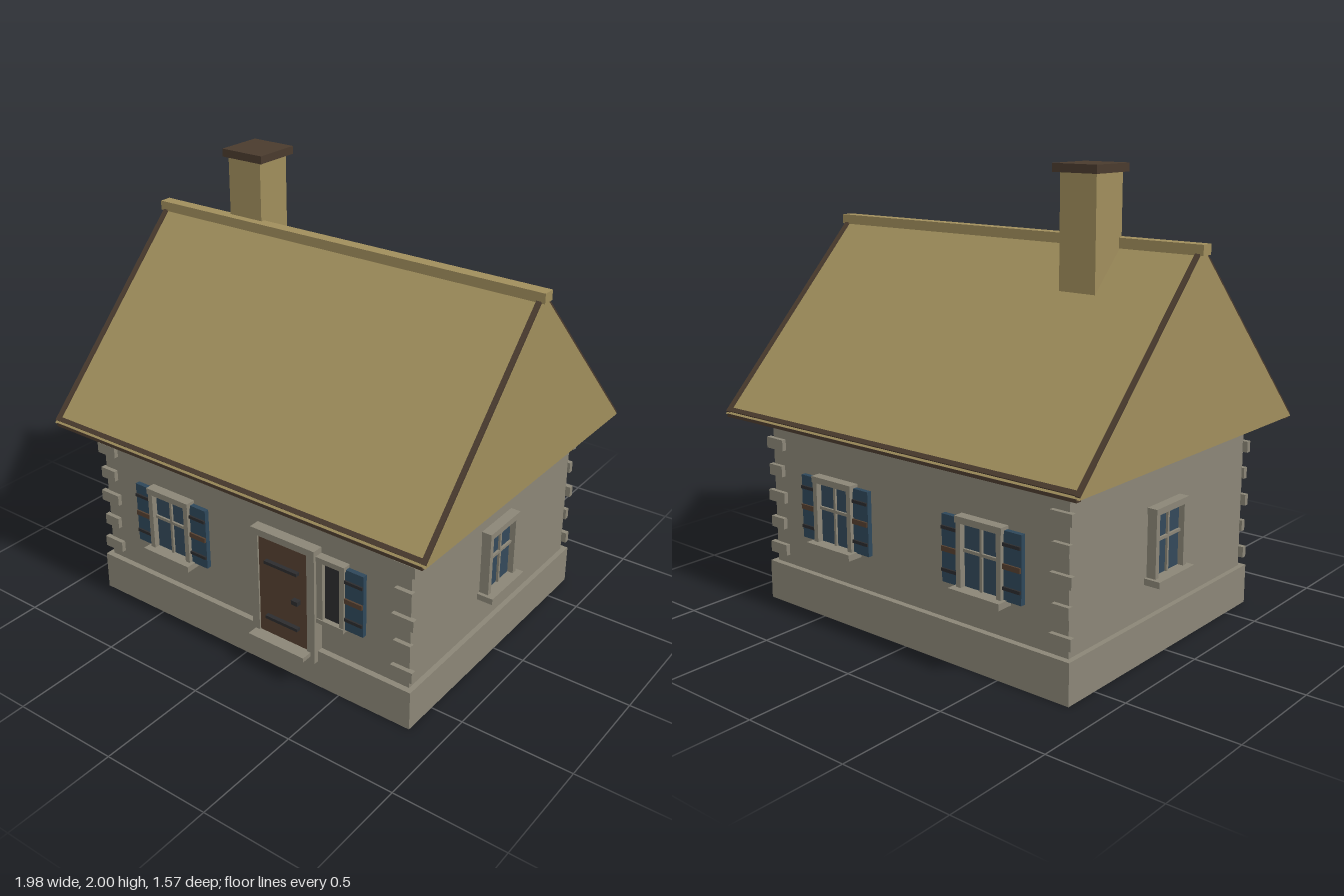
import * as THREE from 'three';

const mat = (name, color) => {
  const m = new THREE.MeshStandardMaterial({ color });
  m.name = name;
  return m;
};

export function createModel() {
  const stone = mat('stone', 0x8b8677);
  const thatch = mat('thatch', 0xa08e5c);
  const timber = mat('dark timber', 0x4a3b2e);
  const wood = mat('door wood', 0x554030);
  const blue = mat('shutter blue', 0x2e475a);
  const glass = mat('window glass', 0x33495a);
  const iron = mat('iron', 0x2c2c2e);
  const house = new THREE.Group();
  house.name = 'cottage';

  // Box given by its limits on each axis
  const box = (parent, name, material, x0, x1, y0, y1, z0, z1) => {
    const m = new THREE.Mesh(new THREE.BoxGeometry(x1 - x0, y1 - y0, z1 - z0), material);
    m.position.set((x0 + x1) / 2, (y0 + y1) / 2, (z0 + z1) / 2);
    m.name = name;
    parent.add(m);
    return m;
  };

  // Walls on a slightly wider plinth
  box(house, 'plinth', stone, -0.853, 0.853, 0, 0.18, -0.667, 0.667);
  box(house, 'walls', stone, -0.83, 0.83, 0.18, 0.878, -0.64, 0.64);

  // Alternating corner stones on the front and back
  for (const sx of [-1, 1]) for (const sz of [-1, 1]) {
    for (let i = 0; i < 5; i++) {
      const half = i % 2 ? 0.041 : 0.052;
      const y = 0.247 + i * 0.123;
      const z = sz * 0.648;
      box(house, 'cornerStone', stone, sx * 0.802 - half, sx * 0.802 + half,
        y - 0.025, y + 0.025, z - 0.012, z + 0.012);
    }
  }

  // Solid gabled roof
  const W = 0.785, EAVE = 0.875, APEX = 1.685;
  const gable = new THREE.Shape([
    new THREE.Vector2(-W, EAVE), new THREE.Vector2(W, EAVE), new THREE.Vector2(0, APEX),
  ]);
  const roofGeo = new THREE.ExtrudeGeometry(gable, { depth: 1.956, bevelEnabled: false });
  roofGeo.translate(0, 0, -0.978).rotateY(Math.PI / 2);
  const roof = new THREE.Mesh(roofGeo, thatch);
  roof.name = 'roof';
  house.add(roof);
  box(house, 'ridgeCap', thatch, -0.992, 0.992, 1.662, 1.705, -0.028, 0.028);

  // Dark trim along the gable edges and eaves
  const slope = Math.atan2(APEX - EAVE, W), run = Math.hypot(W, APEX - EAVE);
  for (const s of [-1, 1]) {
    const trim = new THREE.Group();
    trim.name = 'roofTrim';
    trim.position.set(0, (EAVE + APEX) / 2, s * W / 2);
    trim.rotation.x = s * slope;
    house.add(trim);
    for (const sx of [-1, 1]) {
      box(trim, 'gableTrim', timber, sx * 0.965 - 0.011, sx * 0.965 + 0.011,
        -0.006, 0.009, -run / 2 + 0.01, run / 2 - 0.012);
    }
    const e = s * (run / 2 - 0.023);
    box(trim, 'eaveTrim', timber, -0.976, 0.976, -0.006, 0.008, e - 0.01, e + 0.01);
    const z = s * 0.772;
    box(house, 'eaveBoard', timber, -0.965, 0.965, 0.863, 0.877, z - 0.013, z + 0.013);
  }

  // Chimney
  box(house, 'chimney', thatch, -0.602, -0.425, 1.4, 1.97, -0.187, -0.01);
  box(house, 'chimneyCap', timber, -0.622, -0.405, 1.965, 2, -0.213, 0.006);

  // Hinged panel with three battens
  const shutter = (parent, cx) => {
    box(parent, 'shutter', blue, cx - 0.048, cx + 0.048, 0.346, 0.634, 0.004, 0.026);
    [0.4, 0.49, 0.58].forEach((y, i) => {
      const h = i === 1 ? 0.011 : 0.007;
      box(parent, 'batten', i === 1 ? wood : iron, cx - 0.046, cx + 0.046, y - h, y + h, 0.024, 0.034);
    });
  };

  // Four-pane window facing +z of its group, wall plane at z = 0
  const makeWindow = (x, z, turn, shutters) => {
    const g = new THREE.Group();
    g.name = 'window';
    g.position.set(x, 0, z);
    g.rotation.y = turn;
    house.add(g);
    box(g, 'pane', glass, -0.1, 0.1, 0.35, 0.625, 0, 0.016);
    box(g, 'mullion', stone, -0.006, 0.006, 0.35, 0.625, 0.012, 0.026);
    box(g, 'glazingBar', stone, -0.1, 0.1, 0.498, 0.511, 0.012, 0.026);
    for (const s of [-1, 1]) {
      box(g, 'jamb', stone, s * 0.104 - 0.012, s * 0.104 + 0.012, 0.34, 0.63, 0, 0.043);
      if (shutters) shutter(g, s * 0.157);
    }
    box(g, 'lintel', stone, -0.12, 0.12, 0.62, 0.648, 0, 0.046);
    box(g, 'sill', stone, -0.132, 0.132, 0.322, 0.35, 0, 0.074);
  };
  makeWindow(-0.416, 0.64, 0, true);
  for (const s of [-1, 1]) {
    makeWindow(s * 0.416, -0.64, Math.PI, true);
    makeWindow(s * 0.83, 0, s * Math.PI / 2, false);
  }

  // Narrow dark opening beside the door, with one shutter
  const side = new THREE.Group();
  side.name = 'narrowWindow';
  side.position.z = 0.64;
  house.add(side);
  box(side, 'darkPane', iron, 0.41, 0.52, 0.345, 0.63, 0, 0.016);
  box(side, 'jamb', stone, 0.39, 0.424, 0.34, 0.63, 0, 0.035);
  box(side, 'jamb', stone, 0.508, 0.532, 0.34, 0.63, 0, 0.035);
  box(side, 'lintel', stone, 0.39, 0.535, 0.625, 0.648, 0, 0.038);
  box(side, 'sill', stone, 0.39, 0.532, 0.332, 0.352, 0, 0.04);
  shutter(side, 0.573);

  // Door with stone surround, threshold and ironwork
  const door = new THREE.Group();
  door.name = 'door';
  door.position.z = 0.64;
  house.add(door);
  box(door, 'doorPanel', wood, 0.09, 0.365, 0.17, 0.65, 0, 0.042);
  box(door, 'doorJamb', stone, 0.063, 0.1, 0.128, 0.675, 0, 0.05);
  box(door, 'doorJamb', stone, 0.355, 0.394, 0.128, 0.675, 0, 0.05);
  box(door, 'doorLintel', stone, 0.1, 0.355, 0.644, 0.675, 0, 0.05);
  box(door, 'doorBase', stone, 0.1, 0.355, 0.128, 0.176, 0, 0.05);
  box(door, 'threshold', stone, 0.078, 0.372, 0.156, 0.176, 0, 0.1);
  for (const y of [0.266, 0.537]) box(door, 'hinge', iron, 0.142, 0.312, y - 0.007, y + 0.007, 0.04, 0.062);
  box(door, 'latch', iron, 0.285, 0.318, 0.39, 0.41, 0.04, 0.066);

  return house;
}
